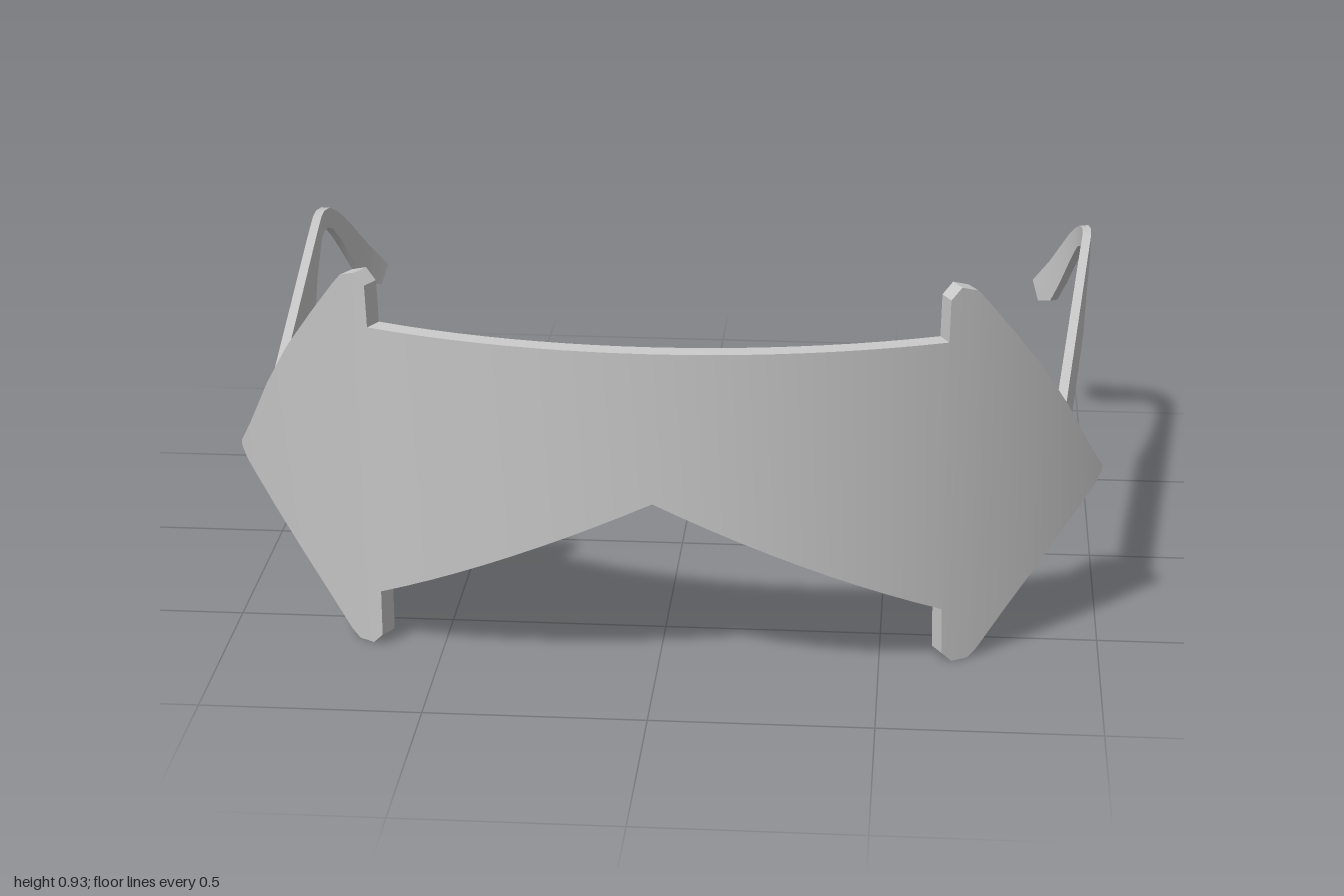
import * as THREE from 'three';
import { toCreasedNormals } from 'three/addons/utils/BufferGeometryUtils.js';

// Skins a closed solid through four-cornered rings, capped at both ends.
function loft(rings) {
  const pos = [];
  const quad = (a, b, c, d) => [a, b, c, a, c, d].forEach((p) => pos.push(...p));
  for (let i = 0; i < rings.length - 1; i++) {
    const a = rings[i], b = rings[i + 1];
    for (let k = 0; k < 4; k++) {
      const n = (k + 1) % 4;
      quad(a[k], a[n], b[n], b[k]);
    }
  }
  const s = rings[0], e = rings[rings.length - 1];
  quad(s[0], s[3], s[2], s[1]);
  quad(e[0], e[1], e[2], e[3]);
  const geo = new THREE.BufferGeometry();
  geo.setAttribute('position', new THREE.Float32BufferAttribute(pos, 3));
  return toCreasedNormals(geo, 0.5);
}

// Front surface of the shield: bowed across x, leaning slightly with height.
const bow = (x, y) =>
  0.89 - 0.365 * x * x - 0.04 * x ** 6 + (0.08 + 0.06 * x * x) * (y - 0.82);

function shieldGeometry() {
  const thickness = 0.045;
  // Half outline as columns: x, top, bottom.
  const half = [];
  for (let i = 0; i <= 10; i++) {
    const t = i / 10;
    half.push([0.64 * t, 0.82 - 0.01 * t * t, 0.46 - 0.315 * t]);
  }
  // Arrow-shaped end with upper and lower barbs.
  half.push(
    [0.642, 0.91, 0.03], [0.665, 0.937, 0.004], [0.7, 0.925, 0.004],
    [0.72, 0.9, 0.022], [0.78, 0.815, 0.105], [0.85, 0.71, 0.196],
    [0.91, 0.6, 0.274], [0.965, 0.48, 0.345], [0.985, 0.44, 0.372],
    [0.998, 0.415, 0.4]
  );
  const mirrored = half.slice(1).reverse().map(([x, t, b]) => [-x, t, b]);
  const rings = [...mirrored, ...half].map(([x, top, bottom]) => {
    const front = (y) => [x, y, bow(x, y)];
    const back = (y) => {
      const slope = (bow(x + 0.01, y) - bow(x - 0.01, y)) / 0.02;
      const k = thickness / Math.hypot(1, slope);
      return [x + slope * k, y, bow(x, y) - k];
    };
    return [front(top), front(bottom), back(bottom), back(top)];
  });
  return loft(rings);
}

// Sideways position of a temple arm along its length; the tail curls inward.
function armX(z) {
  if (z > -0.55) return 0.898 + (0.49 - z) * 0.0847;
  const t = -0.55 - z;
  return 0.986 + 0.06 * t - 1.15 * t * t;
}

function armGeometry(side) {
  const halfWidth = 0.011;
  // Upper z, y then lower z, y, from the hinge to the ear tip.
  const sections = [
    [0.49, 0.587, 0.49, 0.4], [0.4, 0.594, 0.4, 0.41], [0.05, 0.617, 0.05, 0.442],
    [-0.31, 0.642, -0.31, 0.475], [-0.4, 0.648, -0.39, 0.545],
    [-0.54, 0.655, -0.54, 0.6], [-0.59, 0.655, -0.58, 0.602],
    [-0.64, 0.648, -0.62, 0.6], [-0.69, 0.625, -0.66, 0.585],
    [-0.73, 0.597, -0.7, 0.55], [-0.77, 0.558, -0.735, 0.508],
    [-0.83, 0.488, -0.78, 0.442], [-0.89, 0.418, -0.82, 0.382],
    [-0.892, 0.415, -0.87, 0.365]
  ];
  const corner = (z, y, sign) => {
    const slope = (armX(z + 0.01) - armX(z - 0.01)) / 0.02;
    const k = (sign * halfWidth) / Math.hypot(1, slope);
    return [side * (armX(z) + k), y, z - slope * k];
  };
  const rings = sections.map(([zt, yt, zb, yb]) => {
    const ring = [corner(zt, yt, 1), corner(zb, yb, 1), corner(zb, yb, -1), corner(zt, yt, -1)];
    return side > 0 ? ring : ring.reverse();
  });
  return loft(rings);
}

export function createModel() {
  const group = new THREE.Group();
  group.name = 'visorGlasses';
  const material = new THREE.MeshStandardMaterial({ color: 0xcccccc });
  const add = (name, geometry) => {
    const mesh = new THREE.Mesh(geometry, material);
    mesh.name = name;
    group.add(mesh);
  };
  add('shield', shieldGeometry());
  add('leftArm', armGeometry(1));
  add('rightArm', armGeometry(-1));
  return group;
}
